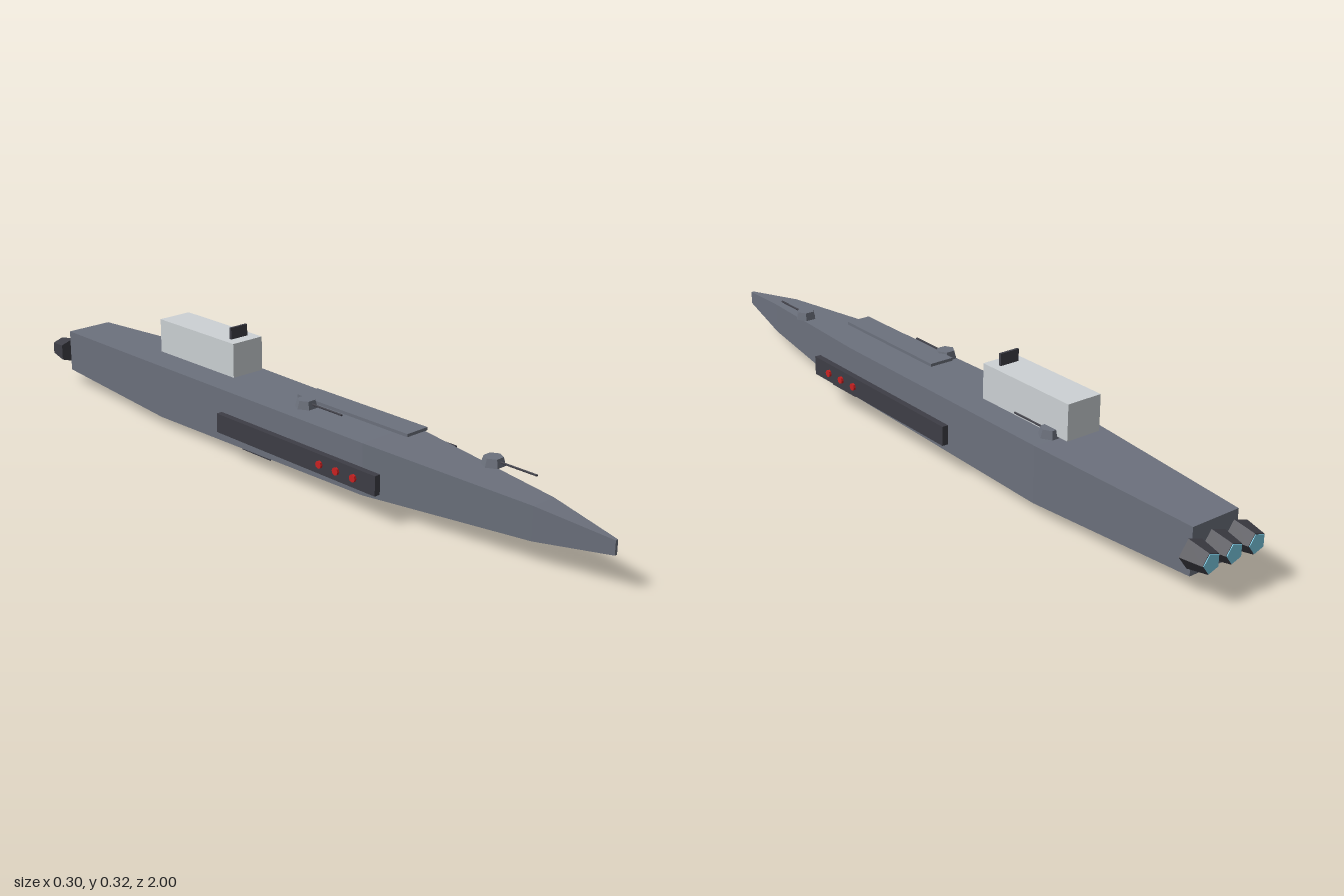
import * as THREE from 'three';

const mat = (name, color) => {
  const m = new THREE.MeshStandardMaterial({ color });
  m.name = name;
  return m;
};

// Hull: rectangular cross-sections [z, half width, bottom y, top y] from bow to stern
function hullGeometry() {
  const sections = [
    [1, 0.004, 0.085, 0.121],
    [0.8, 0.036, 0.06, 0.146],
    [0.32, 0.09, 0.035, 0.171],
    [-0.46, 0.1, 0.028, 0.178],
    [-0.94, 0.07, 0.043, 0.163],
  ];
  const rings = sections.map(([z, w, b, t]) => [[-w, b, z], [w, b, z], [w, t, z], [-w, t, z]]);
  const pos = [];
  const quad = (a, b, c, d) => pos.push(...a, ...b, ...c, ...a, ...c, ...d);
  for (let s = 0; s < rings.length - 1; s++) {
    const a = rings[s], b = rings[s + 1];
    for (let i = 0; i < 4; i++) {
      const j = (i + 1) % 4;
      quad(a[i], b[i], b[j], a[j]);
    }
  }
  const bow = rings[0], stern = rings[rings.length - 1];
  quad(bow[0], bow[1], bow[2], bow[3]);
  quad(stern[3], stern[2], stern[1], stern[0]);
  const g = new THREE.BufferGeometry();
  g.setAttribute('position', new THREE.Float32BufferAttribute(pos, 3));
  g.computeVertexNormals();
  return g;
}

export function createModel() {
  const model = new THREE.Group();
  model.name = 'warship';

  const hullGrey = mat('hull grey', 0x6c717d);
  const paleGrey = mat('pale grey', 0xcdd2d5);
  const darkGrey = mat('dark grey', 0x3e3e46);
  const red = mat('red', 0xcc2222);
  const glowBlue = mat('engine blue', 0x7fd0ea);
  for (const m of [hullGrey, darkGrey, red, glowBlue]) m.flatShading = true;

  const add = (name, geometry, material, x = 0, y = 0, z = 0, parent = model) => {
    const mesh = new THREE.Mesh(geometry, material);
    mesh.name = name;
    mesh.position.set(x, y, z);
    parent.add(mesh);
    return mesh;
  };
  const box = (w, h, d) => new THREE.BoxGeometry(w, h, d);

  add('hull', hullGeometry(), hullGrey);

  // Deck and superstructure
  add('deckPlate', box(0.07, 0.008, 0.385), hullGrey, 0, 0.203, 0.222);
  add('tower', box(0.1, 0.094, 0.312), paleGrey, 0, 0.243, -0.361);
  add('bridgePanel', box(0.056, 0.032, 0.007), darkGrey, 0, 0.306, -0.242);

  // Gun turrets: six-sided housing with a forward barrel
  const housing = new THREE.CylinderGeometry(0.024, 0.03, 0.021, 6).rotateY(Math.PI / 6);
  const barrel = new THREE.CylinderGeometry(0.003, 0.003, 0.13, 6).rotateX(Math.PI / 2);
  for (const [x, y, z] of [[0.05, 0.175, 0.61], [-0.05, 0.201, 0.078], [0.05, 0.201, -0.457]]) {
    const turret = new THREE.Group();
    turret.name = 'turret';
    turret.position.set(x, y, z);
    add('turretHousing', housing, hullGrey, 0, 0, 0, turret);
    add('turretBarrel', barrel, darkGrey, 0, 0.001, 0.064, turret);
    model.add(turret);
  }

  // Slim guns below the hull
  const lowerGun = new THREE.CylinderGeometry(0.003, 0.003, 0.11, 6).rotateX(Math.PI / 2);
  add('lowerGun', lowerGun, darkGrey, 0.05, 0.004, 0.42);
  add('lowerGun', lowerGun, darkGrey, -0.05, 0.004, -0.115);

  // Side rails with three red ports each
  const port = new THREE.CylinderGeometry(0.01, 0.01, 0.014, 8).rotateZ(Math.PI / 2);
  for (const side of [1, -1]) {
    add('sideRail', box(0.017, 0.052, 0.58), darkGrey, side * 0.136, 0.104, 0.126);
    for (const z of [0.345, 0.286, 0.228]) add('railPort', port, red, side * 0.144, 0.104, z);
  }

  // Engines: five-sided nozzles narrowing to a glowing end
  const nozzle = new THREE.CylinderGeometry(0.038, 0.027, 0.058, 5).rotateY(-Math.PI / 10)
    .rotateX(Math.PI / 2);
  const glow = new THREE.CylinderGeometry(0.025, 0.025, 0.002, 5).rotateY(-Math.PI / 10)
    .rotateX(Math.PI / 2);
  // Turn one corner of each pentagon towards +x
  for (const g of [nozzle, glow]) {
    g.computeBoundingBox();
    if (g.boundingBox.max.x < -g.boundingBox.min.x) g.rotateZ(Math.PI);
    if (Math.abs(g.boundingBox.max.x + g.boundingBox.min.x) < 1e-4) g.rotateZ(Math.PI / 2);
  }
  for (const x of [-0.07, 0, 0.07]) {
    // Wide end sits against the stern
    add('engineNozzle', nozzle, darkGrey, x, 0.103, -0.969);
    add('engineGlow', glow, glowBlue, x, 0.103, -0.999);
  }
  return model;
}
